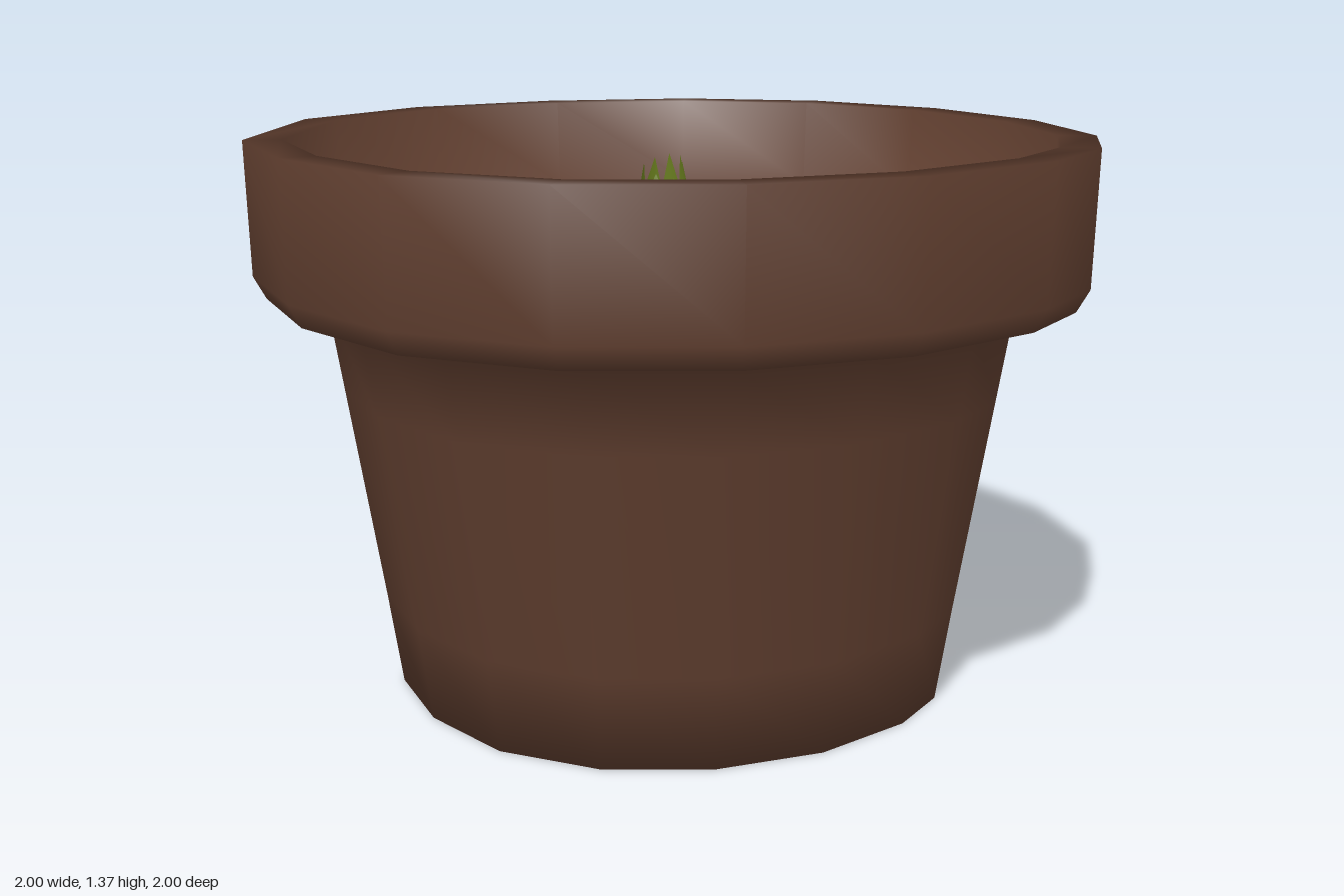
import * as THREE from 'three';

// Uneven sixteen-sided outline of the pot, as [x, z] at the rim
const OUTLINE = [
  [1, 0.1], [0.9, 0.49], [0.73, 0.73], [0.49, 0.89], [0.1, 0.995], [-0.305, 0.96], [-0.65, 0.79], [-0.9, 0.49],
  [-1, 0.1], [-0.97, -0.31], [-0.685, -0.76], [-0.305, -0.97], [0.1, -1], [0.49, -0.9], [0.795, -0.66], [0.965, -0.31],
];

// Sweep a [scale, height] profile round n columns with smooth normals
function sweep(profile, n, place) {
  const pos = [], idx = [];
  profile.forEach(([s, y], row) => {
    for (let i = 0; i < n; i++) pos.push(...place(s, y, i, row));
  });
  for (let j = 0; j < profile.length - 1; j++) {
    for (let i = 0; i < n; i++) {
      const k = (i + 1) % n;
      const a = j * n + i, b = j * n + k, c = a + n, d = b + n;
      if (profile[j + 1][0] > 0) idx.push(a, c, d);
      if (profile[j][0] > 0) idx.push(a, d, b);
    }
  }
  const g = new THREE.BufferGeometry();
  g.setAttribute('position', new THREE.Float32BufferAttribute(pos, 3));
  g.setIndex(idx);
  g.computeVertexNormals();
  return g;
}

function addMesh(group, name, geometry, material) {
  const mesh = new THREE.Mesh(geometry, material);
  mesh.name = name;
  group.add(mesh);
}

export function createModel() {
  const group = new THREE.Group();
  group.name = 'flowerPot';

  const clay = new THREE.MeshStandardMaterial({ color: 0x5e3d2e });
  clay.name = 'brown clay';
  const green = new THREE.MeshStandardMaterial({ color: 0x6a7f1e, side: THREE.DoubleSide });
  green.name = 'stem green';

  // Pot: underside, tapered wall, thick collar, lip, then down inside to the soil
  const potProfile = [
    [0, 0], [0.667, 0], [0.702, 0.23], [0.787, 0.76], [0.82, 0.965],
    [0.96, 0.985], [0.99, 1.04], [1, 1.365],
    [0.91, 1.365], [0.895, 1.14], [0.6, 1.125], [0, 1.12],
  ];
  addMesh(group, 'pot', sweep(potProfile, OUTLINE.length,
    (s, y, i) => [s * OUTLINE[i][0], y, s * OUTLINE[i][1]]), clay);

  // Broken stem: open tapered tube whose ragged tips bend inwards
  const jags = [0.06, -0.02, 0.05, -0.03, 0.01, -0.03, 0.02, -0.03,
    0, -0.03, 0.04, -0.02, 0.05, -0.03, 0.06, -0.02];
  const stemProfile = [[0.075, 1.11], [0.064, 1.19], [0.06, 1.25]];
  addMesh(group, 'stem', sweep(stemProfile, jags.length, (r, y, i, row) => {
    const a = (i / jags.length) * Math.PI * 2;
    const jag = row === 2 ? jags[i] : 0;
    const radius = r - Math.max(jag, 0) * 0.25;
    return [radius * Math.cos(a), y + jag, radius * Math.sin(a) - 0.025 - 0.007 * row];
  }), green);

  return group;
}
